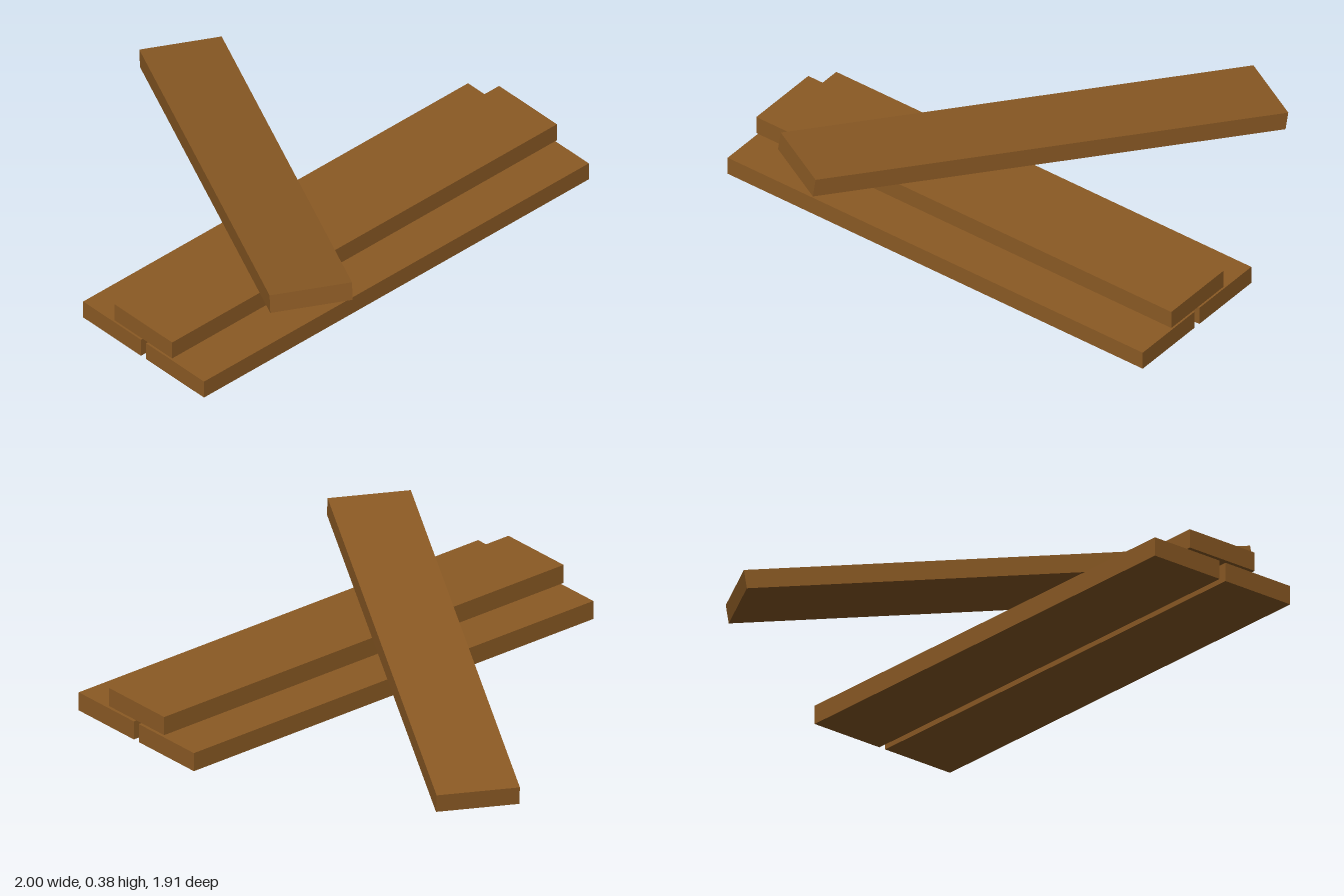
import * as THREE from 'three';

const LENGTH = 2, WIDTH = 0.325, THICK = 0.077;

export function createModel() {
  const model = new THREE.Group();
  model.name = 'plankPile';
  const wood = new THREE.MeshStandardMaterial({ color: 0x8b5a24 });
  wood.name = 'brown wood';

  // All planks share one board, long along x
  const board = new THREE.BoxGeometry(LENGTH, THICK, WIDTH);
  const addPlank = (name, x, y, z) => {
    const plank = new THREE.Mesh(board, wood);
    plank.name = name;
    plank.position.set(x, y, z);
    model.add(plank);
    return plank;
  };

  // Two planks side by side with a third stacked over the gap
  addPlank('backBottomPlank', 0, 0.049, 0.223);
  addPlank('frontBottomPlank', 0, 0.049, 0.577);
  addPlank('topPlank', 0, 0.136, 0.398);

  // Loose plank leaning across the pile, raised at the front end
  const leaning = addPlank('leaningPlank', -0.098, 0.19, 0);
  leaning.rotation.set(0, -0.492 - Math.PI / 2, 0.15, 'YZX');

  return model;
}
